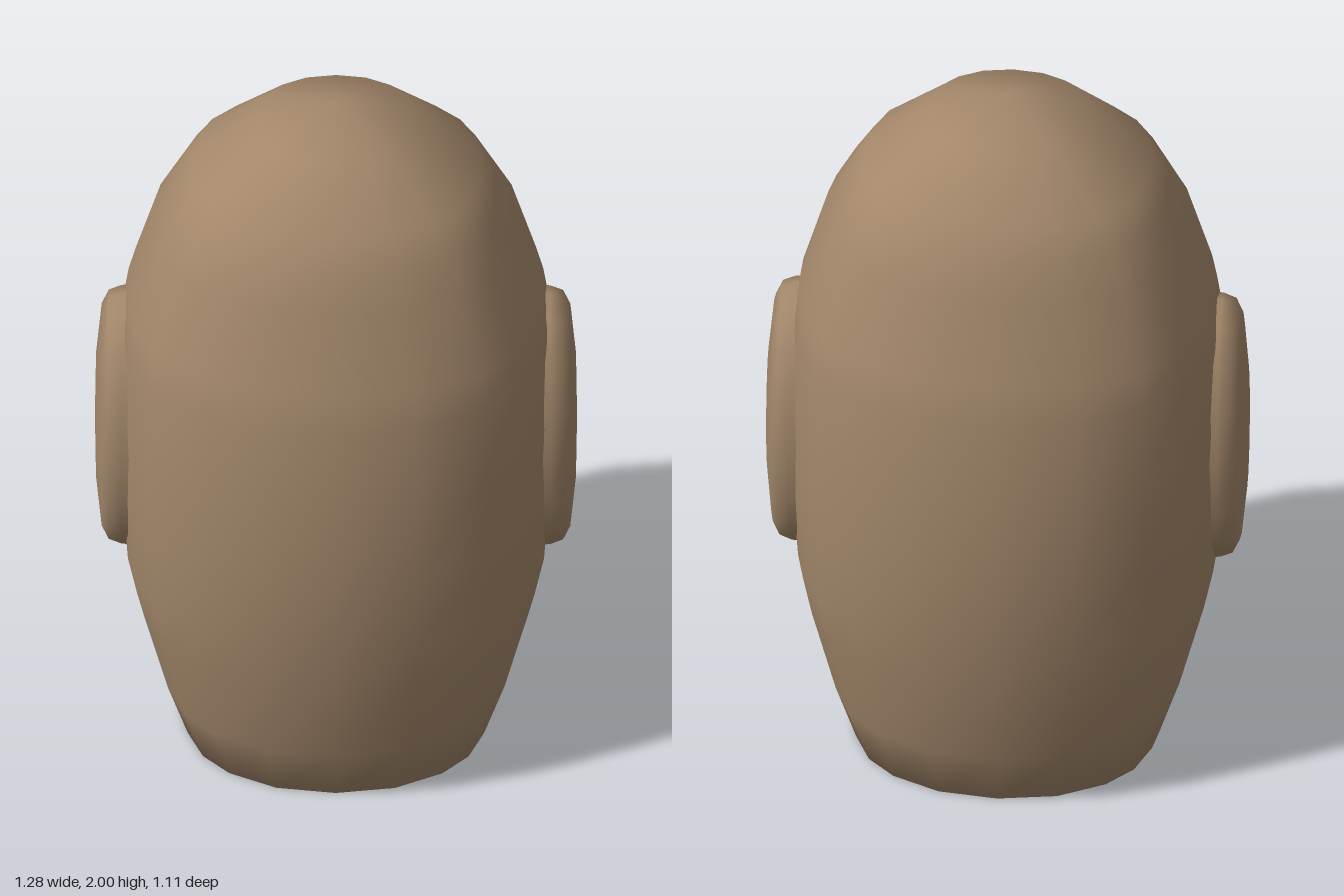
import * as THREE from 'three';

const COLOR = 0xa3876a;

// Rings of the shell: [height, half width, half depth]
const RINGS = [
  [0, 0.41, 0.41], [0.17, 0.465, 0.475], [0.42, 0.53, 0.52], [0.54, 0.555, 0.533],
  [0.8, 0.573, 0.556], [1.05, 0.576, 0.536], [1.28, 0.568, 0.515], [1.38, 0.553, 0.485],
  [1.61, 0.485, 0.412], [1.71, 0.43, 0.38], [1.79, 0.382, 0.325], [1.938, 0.205, 0.198],
];

// Quarter of the plan outline, from the front (z) round to the side (x)
const QUARTER = [[0, 1], [0.385, 0.945], [0.69, 0.79], [0.86, 0.61], [0.96, 0.36], [0.995, 0.17]];

function planOutline() {
  const points = [];
  const add = (list, sx, sz) => list.forEach(([x, z]) => points.push([x * sx, z * sz]));
  const back = [...QUARTER].slice(1).reverse();
  add(QUARTER, 1, 1);
  add([[1, 0], ...back], 1, -1);
  add(QUARTER, -1, -1);
  add([[1, 0], ...back], -1, 1);
  return points;
}

// Hollow shell, closed at the crown and open at the bottom
function shellGeometry() {
  const plan = planOutline();
  const n = plan.length;
  const positions = [];
  const index = [];
  for (const [y, w, d] of RINGS) {
    for (const [px, pz] of plan) positions.push(px * w, y, pz * d);
  }
  positions.push(0, 2, 0);
  const crown = RINGS.length * n;
  for (let i = 0; i < RINGS.length; i++) {
    for (let j = 0; j < n; j++) {
      const a = i * n + j;
      const b = i * n + (j + 1) % n;
      if (i === RINGS.length - 1) index.push(a, b, crown);
      else index.push(a, b, b + n, a, b + n, a + n);
    }
  }
  const geometry = new THREE.BufferGeometry();
  geometry.setAttribute('position', new THREE.Float32BufferAttribute(positions, 3));
  geometry.setIndex(index);
  geometry.computeVertexNormals();
  // Turn the rim normals downward so the bottom edge looks rounded
  const normal = geometry.attributes.normal;
  const v = new THREE.Vector3();
  for (let j = 0; j < n; j++) {
    v.fromBufferAttribute(normal, j);
    v.y = -0.9;
    v.normalize();
    normal.setXYZ(j, v.x, v.y, v.z);
  }
  return geometry;
}

// Oval side pad with a rounded edge, its axis along +x
function padGeometry() {
  const profile = [[1.02, 0.5], [1.0, 0.57], [0.965, 0.603], [0.86, 0.622], [0.48, 0.637], [0, 0.64]]
    .map(([r, h]) => new THREE.Vector2(r, h));
  const geometry = new THREE.LatheGeometry(profile, 16);
  geometry.rotateZ(-Math.PI / 2);
  geometry.scale(1, 0.405, 0.2);
  geometry.translate(0, 0.953, 0);
  return geometry;
}

export function createModel() {
  const model = new THREE.Group();
  model.name = 'hood';
  const material = new THREE.MeshStandardMaterial({ color: COLOR, side: THREE.DoubleSide });

  const shell = new THREE.Mesh(shellGeometry(), material);
  shell.name = 'shell';
  model.add(shell);

  // Matching pads on both sides
  const pad = padGeometry();
  for (const [name, turn] of [['leftSidePad', 0], ['rightSidePad', Math.PI]]) {
    const mesh = new THREE.Mesh(pad, material);
    mesh.name = name;
    mesh.rotation.y = turn;
    model.add(mesh);
  }
  return model;
}
